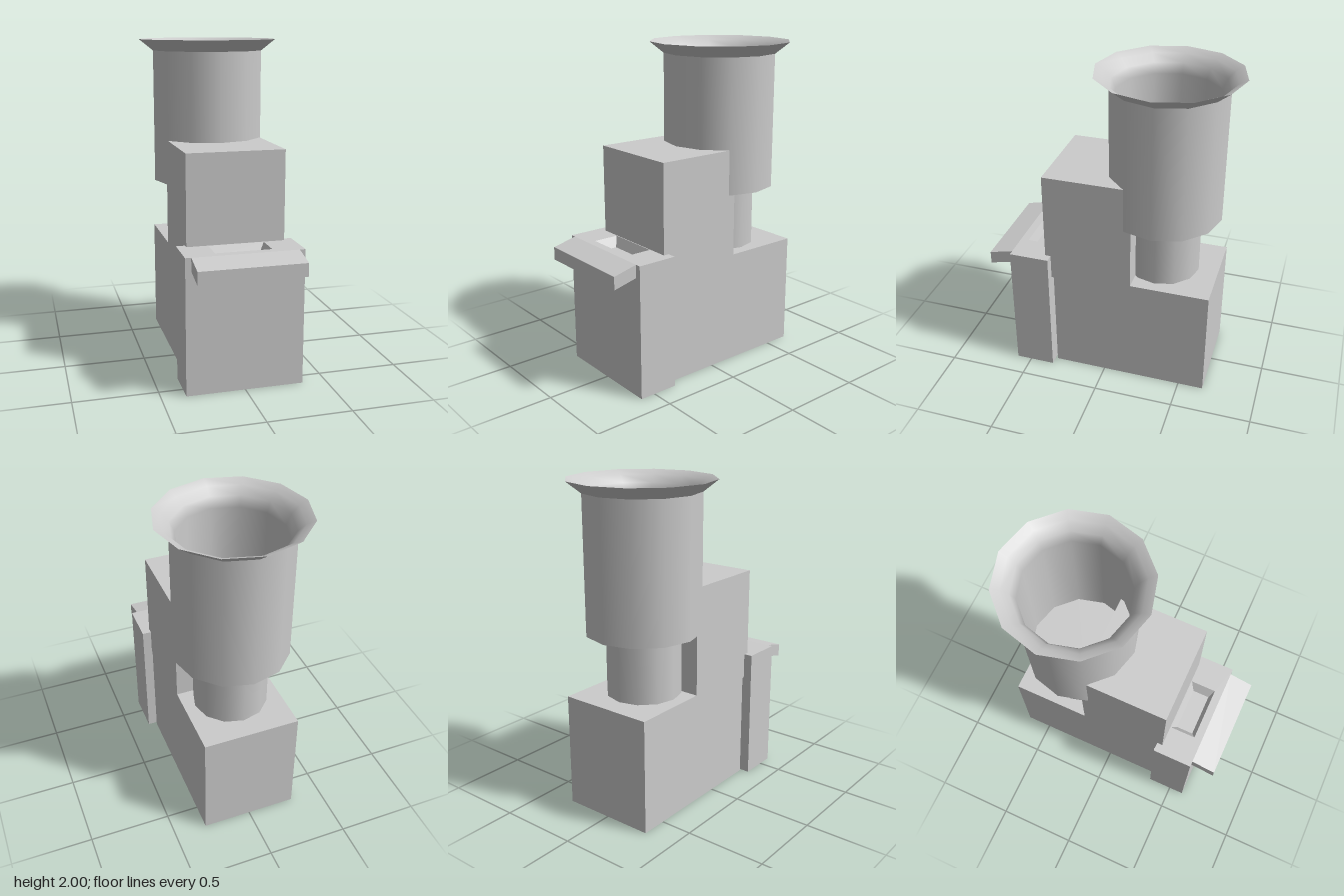
import * as THREE from 'three';

const grey = new THREE.MeshStandardMaterial({ color: 0xcccccc });
const greyDouble = new THREE.MeshStandardMaterial({ color: 0xcccccc, side: THREE.DoubleSide });

function add(group, name, geometry, material = grey) {
  const mesh = new THREE.Mesh(geometry, material);
  mesh.name = name;
  group.add(mesh);
  return mesh;
}

// Box given by half width and its y and z limits
function block(group, name, halfX, y0, y1, z0, z1) {
  const mesh = add(group, name, new THREE.BoxGeometry(2 * halfX, y1 - y0, z1 - z0));
  mesh.position.set(0, (y0 + y1) / 2, (z0 + z1) / 2);
}

// Skin over successive horizontal rectangles [halfX, z0, z1, y], capped at both ends
function loftRectangles(rings) {
  const corners = rings.map(([x, z0, z1, y]) => [[-x, y, z1], [x, y, z1], [x, y, z0], [-x, y, z0]]);
  const positions = [];
  const quad = (a, b, c, d) => positions.push(...a, ...b, ...c, ...a, ...c, ...d);
  for (let i = 0; i < corners.length - 1; i++) {
    for (let j = 0; j < 4; j++) {
      const k = (j + 1) % 4;
      quad(corners[i][j], corners[i][k], corners[i + 1][k], corners[i + 1][j]);
    }
  }
  const first = corners[0];
  quad(first[3], first[2], first[1], first[0]);
  quad(...corners[corners.length - 1]);
  const geometry = new THREE.BufferGeometry();
  geometry.setAttribute('position', new THREE.Float32BufferAttribute(positions, 3));
  geometry.computeVertexNormals();
  return geometry;
}

export function createModel() {
  const model = new THREE.Group();
  model.name = 'grinder';
  const axisZ = -0.305;

  // Body
  block(model, 'base', 0.3, 0, 0.71, -0.66, 0.33);
  block(model, 'upperHousing', 0.3, 0.67, 1.38, -0.17, 0.38);
  block(model, 'connector', 0.2, 0.15, 0.32, 0.32, 0.35);

  // Front box with a tapered recess in its top
  add(model, 'frontBox', loftRectangles([
    [0.355, 0.345, 0.595, 0],
    [0.355, 0.345, 0.595, 0.83],
    [0.17, 0.385, 0.545, 0.83],
    [0.135, 0.415, 0.52, 0.77],
  ]));

  // Sloping lip on the front box
  const lip = new THREE.BoxGeometry(0.64, 0.08, 0.15);
  const p = lip.attributes.position;
  for (let i = 0; i < p.count; i++) p.setY(i, p.getY(i) - (p.getZ(i) + 0.075) * 0.24);
  lip.computeVertexNormals();
  add(model, 'frontLip', lip).position.set(0, 0.79, 0.67);

  // Neck under the hopper
  add(model, 'neck', new THREE.CylinderGeometry(0.23, 0.23, 0.41, 12))
    .position.set(0, 0.905, axisZ);

  // Twelve-sided hopper: outer wall, flared rim, inner wall
  const lathe = (...points) =>
    new THREE.LatheGeometry(points.map(([r, y]) => new THREE.Vector2(r, y)), 12);
  const hopper = new THREE.Group();
  hopper.name = 'hopper';
  hopper.position.z = axisZ;
  add(hopper, 'hopperWall', lathe([0.352, 1.1], [0.352, 1.93]), greyDouble);
  add(hopper, 'hopperFlare', lathe([0.352, 1.93], [0.44, 2]), greyDouble);
  add(hopper, 'hopperLining', lathe([0.44, 2], [0.39, 1.975], [0.345, 1.93], [0.317, 1.87], [0.317, 1.13]), greyDouble);
  add(hopper, 'hopperBottom', lathe([0, 1.1], [0.352, 1.1]), greyDouble);
  add(hopper, 'hopperFloor', lathe([0.317, 1.13], [0, 1.13]), greyDouble);
  model.add(hopper);

  return model;
}
